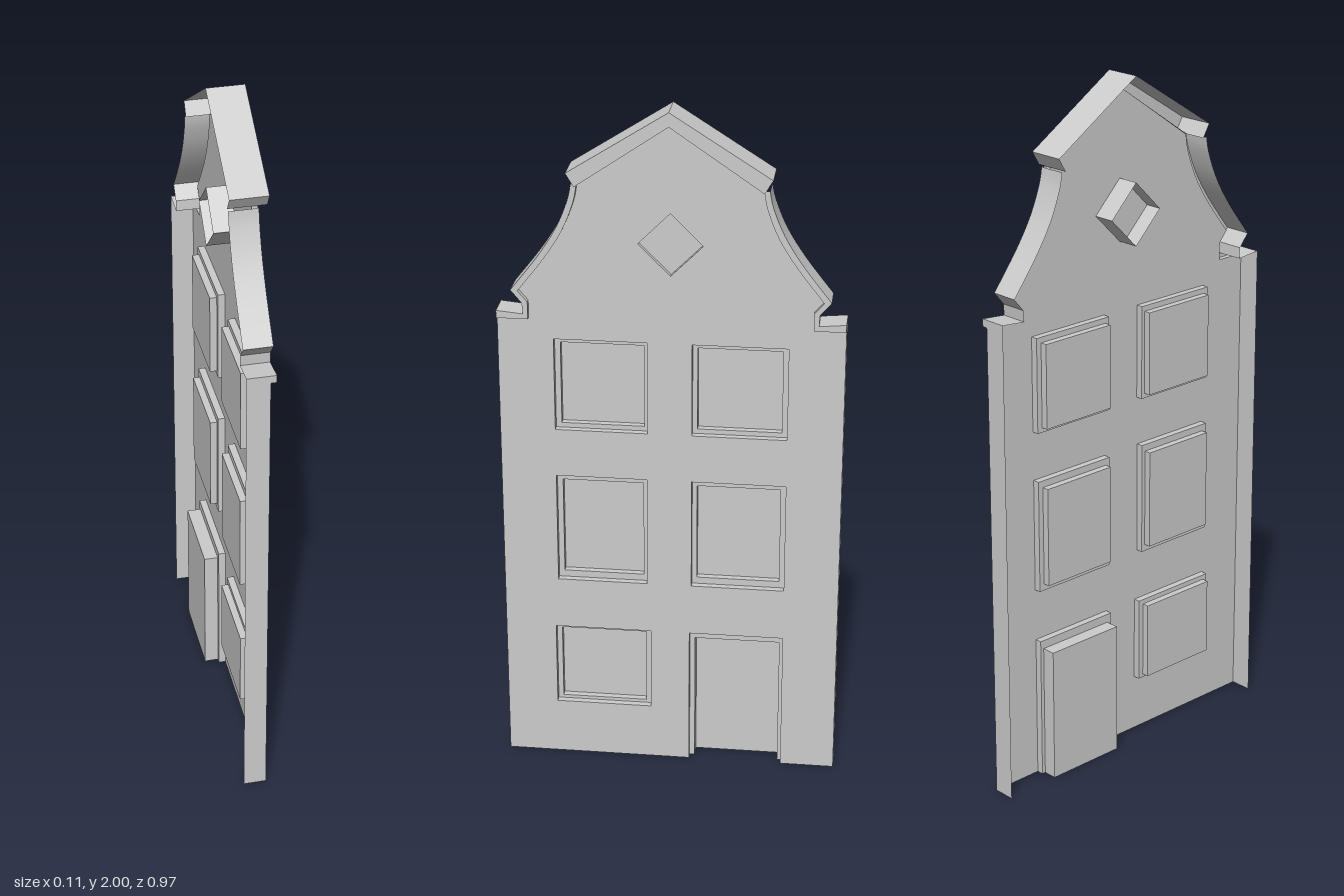
import * as THREE from 'three';
import { mergeVertices, toCreasedNormals } from 'three/addons/utils/BufferGeometryUtils.js';

// The facade faces +x; outlines are lists of [z, y].
const BACK = -0.053, WALL = 0.012, TRIM = 0.028, CORNICE = 0.053;
const material = new THREE.MeshStandardMaterial({ color: 0xcccccc, side: THREE.DoubleSide });

function addMesh(parent, name, geometry) {
  const mesh = new THREE.Mesh(geometry, material);
  mesh.name = name;
  parent.add(mesh);
  return mesh;
}

const vectors = (pts) => pts.map(([z, y]) => new THREE.Vector2(-z, y));

// Flat sheet facing +x, with optional holes
function sheet(pts, x, holes = []) {
  const shape = new THREE.Shape(vectors(pts));
  holes.forEach((h) => shape.holes.push(new THREE.Path(vectors(h))));
  return new THREE.ShapeGeometry(shape).rotateY(Math.PI / 2).translate(x, 0, 0);
}

// Surface joining successive outlines, each given as [points, x]
function loft(sections, closed = false) {
  const pos = [];
  const n = sections[0][0].length;
  for (let s = 0; s < sections.length - 1; s++) {
    for (let i = 0; i < (closed ? n : n - 1); i++) {
      const corner = (k, j) => {
        const [z, y] = sections[k][0][j % n];
        return [sections[k][1], y, z];
      };
      const a = corner(s, i), b = corner(s, i + 1), c = corner(s + 1, i + 1), d = corner(s + 1, i);
      pos.push(...a, ...b, ...c, ...a, ...c, ...d);
    }
  }
  const g = new THREE.BufferGeometry();
  g.setAttribute('position', new THREE.Float32BufferAttribute(pos, 3));
  return toCreasedNormals(mergeVertices(g), 0.5);
}

const mirror = (pts) => pts.map(([z, y]) => [-z, y]);
const rect = (z0, z1, y0, y1) => [[z0, y0], [z0, y1], [z1, y1], [z1, y0]];

// Smooth sweep of the gable side
function sweep(pts) {
  const curve = new THREE.SplineCurve(pts.map(([z, y]) => new THREE.Vector2(z, y)));
  return curve.getPoints(16).map((p) => [p.x, p.y]);
}

export function createModel() {
  const model = new THREE.Group();
  model.name = 'gabledFacade';

  // Outlines of the gable moulding, from shoulder to cornice
  const trimOuter = [[0.485, 1.39], [0.485, 1.412], [0.41, 1.405], [0.412, 1.437],
    ...sweep([[0.443, 1.474], [0.365, 1.575], [0.312, 1.66], [0.28, 1.738], [0.27, 1.785]])];
  const trimInner = [[0.485, 1.39], [0.485, 1.39], [0.396, 1.39], [0.396, 1.441],
    ...sweep([[0.423, 1.472], [0.348, 1.569], [0.296, 1.652], [0.264, 1.733], [0.254, 1.785]])];

  // Window and door openings: outer and inner [z0, z1, y0, y1]
  const openings = [
    ['upperWindow', [0.328, 0.066, 1.053, 1.328], [0.312, 0.077, 1.067, 1.312]],
    ['upperWindow', [-0.06, -0.328, 1.053, 1.328], [-0.074, -0.312, 1.067, 1.312]],
    ['middleWindow', [0.328, 0.068, 0.578, 0.91], [0.312, 0.08, 0.598, 0.89]],
    ['middleWindow', [-0.06, -0.328, 0.578, 0.91], [-0.074, -0.312, 0.598, 0.89]],
    ['lowerWindow', [0.338, 0.058, 0.17, 0.423], [0.323, 0.074, 0.18, 0.409]],
  ];
  const doorOuter = rect(-0.055, -0.328, 0, 0.423);
  const doorInner = rect(-0.07, -0.317, 0, 0.398);
  const diamond = [[0, 1.527], [0.09, 1.617], [0, 1.707], [-0.09, 1.617]];

  // Wall sheet, with the door notched out of its foot
  const rightEdge = [[-0.485, 0], ...mirror(trimInner.slice(1))];
  const leftEdge = [...trimInner.slice(1).reverse(), [0.485, 0]];
  const outline = [...rightEdge, [0, 1.96], ...leftEdge, ...doorOuter];
  addMesh(model, 'wall', sheet(outline, WALL, [...openings.map((o) => rect(...o[1])), diamond]));

  // Side returns and gable mouldings
  for (const side of [1, -1]) {
    const flip = side > 0 ? (p) => p : mirror;
    const prefix = side > 0 ? 'left' : 'right';
    const edge = flip([[0.485, 0], [0.485, 1.39]]);
    addMesh(model, prefix + 'SideWall', loft([[edge, BACK], [edge, WALL]]));
    const outer = flip(trimOuter), inner = flip(trimInner);
    addMesh(model, prefix + 'GableMoulding',
      loft([[outer, BACK], [outer, TRIM], [inner, TRIM], [inner, WALL]]));
  }

  // Peaked cornice
  const corniceOuter = [[0.257, 1.785], [0.28, 1.823], [0, 2], [-0.28, 1.823], [-0.257, 1.785]];
  const corniceInner = [[0.257, 1.785], [0.254, 1.787], [0, 1.96], [-0.254, 1.787], [-0.257, 1.785]];
  addMesh(model, 'cornice', loft([[corniceOuter, BACK], [corniceOuter, CORNICE],
    [corniceInner, CORNICE], [corniceInner, WALL]]));

  // Stepped recess closed by a flat panel
  const recess = (name, outer, inner, mid, deep, closed) => {
    const group = new THREE.Group();
    group.name = name;
    addMesh(group, 'frame', loft([[outer, WALL], [outer, mid], [inner, mid], [inner, deep]], closed));
    addMesh(group, 'panel', sheet(inner, deep));
    model.add(group);
  };
  openings.forEach(([name, o, i]) => recess(name, rect(...o), rect(...i), -0.008, -0.028, true));
  recess('door', doorOuter, doorInner, -0.008, -0.048, false);

  // Diamond window: a sleeve through the wall with a shallow pane
  addMesh(model, 'diamondSleeve', loft([[diamond, WALL], [diamond, BACK]], true));
  addMesh(model, 'diamondPane', sheet(diamond, -0.003));

  return model;
}
